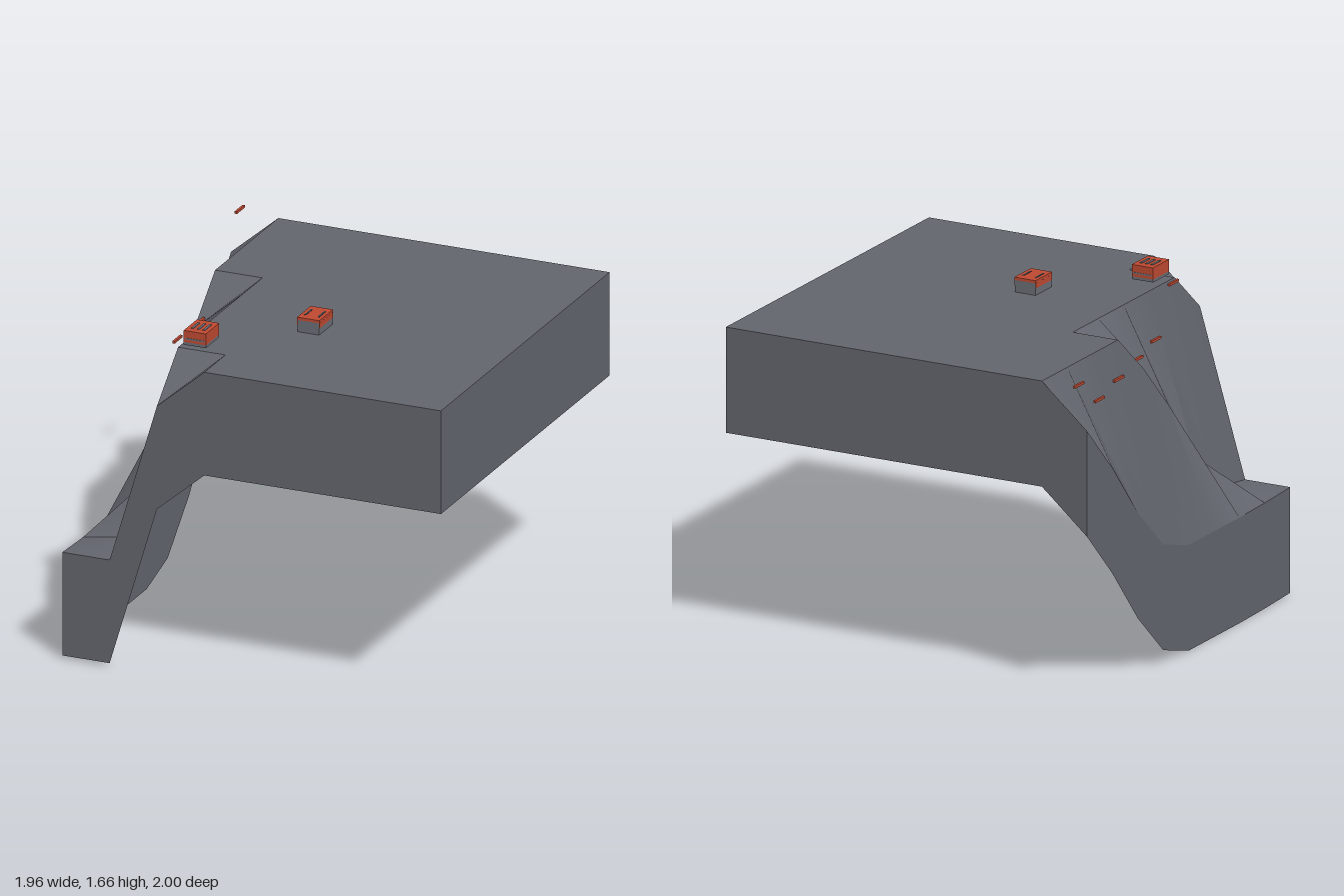
import * as THREE from 'three';
import { toCreasedNormals } from 'three/addons/utils/BufferGeometryUtils.js';

const X0 = -0.98, Z0 = -0.955, CELL = 0.2444, N = 8, TOP = 1.57, SKIRT = 0.523;

// Heights of the sloping columns, from back to front; everything else is flat
const SLOPE = [
  [1.36, 1.11, 0.82, 0.595, 0.525, 0.525, 0.525, 0.53, 0.54],
  [TOP, TOP, TOP, TOP, 1.36, 1.11, 0.79, 0.57, 0.54],
  [TOP, TOP, TOP, TOP, TOP, TOP, TOP, TOP, 1.36],
];
const height = (i, j) => (i < SLOPE.length ? SLOPE[i][j] : TOP);
const point = (i, j, drop = 0) => [X0 + i * CELL, height(i, j) - drop, Z0 + j * CELL];

function geometryFrom(positions) {
  const g = new THREE.BufferGeometry();
  g.setAttribute('position', new THREE.Float32BufferAttribute(positions.flat(), 3));
  return g;
}

// Ground surface: a grid of cells, each cut along the same diagonal
function groundGeometry() {
  const p = [];
  for (let i = 0; i < N; i++) {
    for (let j = 0; j < N; j++) {
      const a = point(i, j), b = point(i + 1, j), c = point(i, j + 1), d = point(i + 1, j + 1);
      p.push(a, c, b, b, c, d);
    }
  }
  return toCreasedNormals(geometryFrom(p), 0.5);
}

// Skirt wall: hangs a constant depth below one edge of the ground
function skirtGeometry(cornerAt) {
  const p = [];
  for (let k = 0; k < N; k++) {
    const [i0, j0] = cornerAt(k), [i1, j1] = cornerAt(k + 1);
    const a = point(i0, j0), b = point(i1, j1);
    const c = point(i0, j0, SKIRT), d = point(i1, j1, SKIRT);
    p.push(a, c, b, b, c, d);
  }
  const g = geometryFrom(p);
  g.computeVertexNormals();
  return g;
}

export function createModel() {
  const model = new THREE.Group();
  model.name = 'cliffTile';

  const material = (name, color, side = THREE.FrontSide) => {
    const m = new THREE.MeshStandardMaterial({ color, side });
    m.name = name;
    return m;
  };
  const rock = material('slateGrey', 0x63666e, THREE.DoubleSide);
  const red = material('brickRed', 0xc04a32);
  const grey = material('ventGrey', 0x6a6e75);
  const dark = material('slotDark', 0x3a3d42);

  const add = (parent, name, geometry, mat) => {
    const mesh = new THREE.Mesh(geometry, mat);
    mesh.name = name;
    parent.add(mesh);
    return mesh;
  };
  const box = (parent, name, mat, w, h, d, x, y, z) =>
    add(parent, name, new THREE.BoxGeometry(w, h, d), mat).position.set(x, y, z);

  // Terrain, open underneath
  add(model, 'ground', groundGeometry(), rock);
  add(model, 'frontSkirt', skirtGeometry(k => [k, N]), rock);
  add(model, 'backSkirt', skirtGeometry(k => [N - k, 0]), rock);
  add(model, 'rightSkirt', skirtGeometry(k => [0, k]), rock);
  add(model, 'leftSkirt', skirtGeometry(k => [N, N - k]), rock);

  // Vent near the cliff edge: red block with grey bands and three slots
  const edgeVent = new THREE.Group();
  edgeVent.name = 'edgeVent';
  edgeVent.position.set(-0.408, 1.585, 0.672);
  model.add(edgeVent);
  box(edgeVent, 'ventBase', grey, 0.115, 0.014, 0.155, 0, 0.007, 0);
  box(edgeVent, 'ventBody', red, 0.115, 0.058, 0.155, 0, 0.043, 0);
  box(edgeVent, 'ventBand', grey, 0.1, 0.008, 0.158, 0, 0.032, 0);
  for (const x of [-0.03, 0, 0.03]) {
    box(edgeVent, 'ventSlot', grey, 0.012, 0.004, 0.08, x, 0.073, 0);
  }

  // Vent in the middle: grey block with a red cap and two slots
  const middleVent = new THREE.Group();
  middleVent.name = 'middleVent';
  middleVent.position.set(-0.002, TOP, 0.266);
  model.add(middleVent);
  box(middleVent, 'ventBody', grey, 0.112, 0.06, 0.155, 0, 0.03, 0);
  box(middleVent, 'ventCap', red, 0.115, 0.014, 0.158, 0, 0.067, 0);
  for (const s of [-1, 1]) {
    box(middleVent, 'ventSidePanel', red, 0.004, 0.026, 0.155, s * 0.056, 0.048, 0);
    box(middleVent, 'ventSlot', dark, 0.01, 0.004, 0.08, s * 0.034, 0.0735, 0);
  }

  // Red marker rods along the slope: x, y, z of their centres
  const rods = [
    [-0.935, 1.582, -0.955], [-0.865, 1.41, -0.635], [-0.785, 1.408, -0.305],
    [-0.703, 1.403, 0.025], [-0.62, 1.396, 0.345], [-0.532, 1.574, 0.672],
  ];
  for (const [x, y, z] of rods) box(model, 'markerRod', red, 0.012, 0.012, 0.09, x, y, z);

  return model;
}
